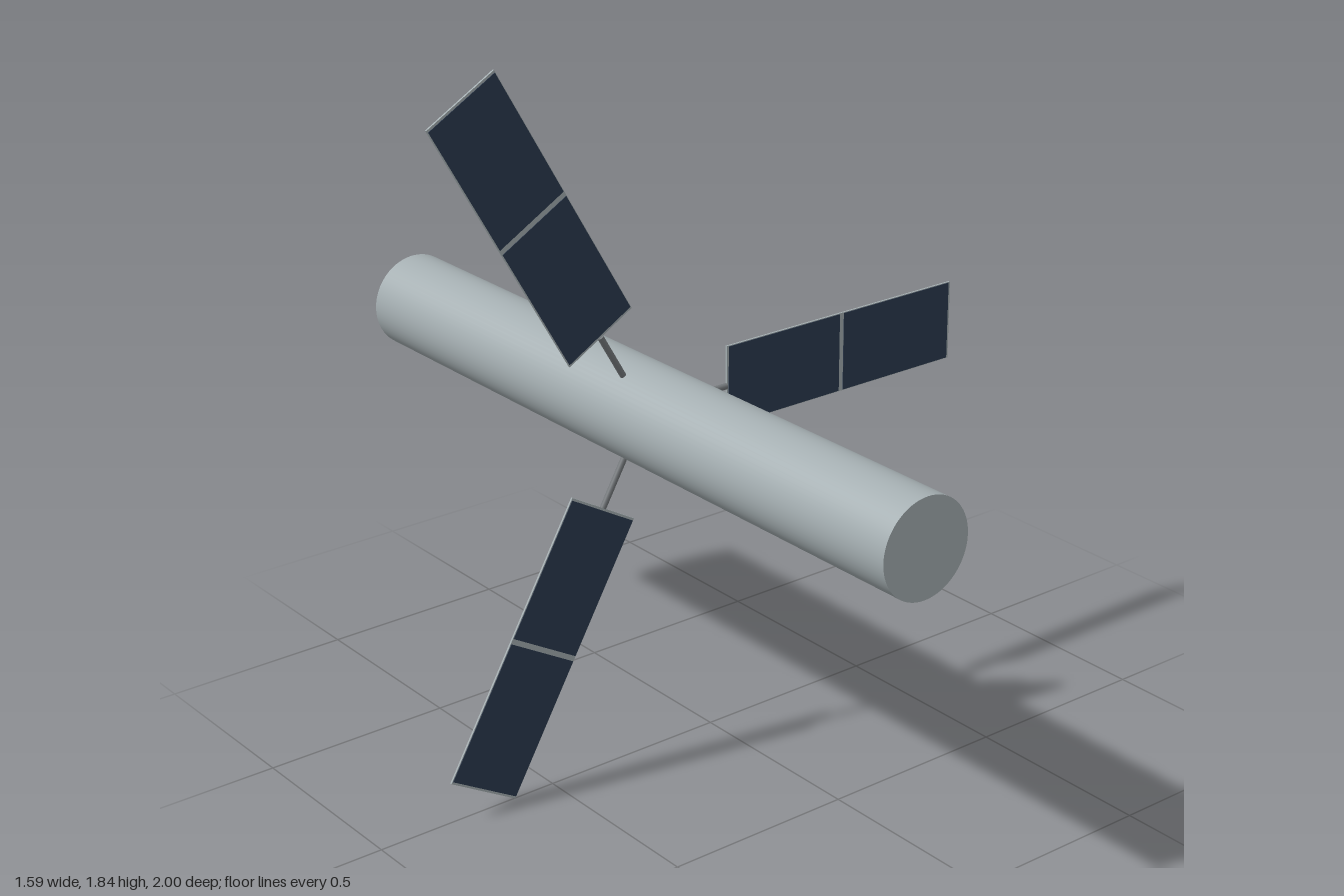
import * as THREE from 'three';

export function createModel() {
  const hullGrey = new THREE.MeshStandardMaterial({ name: 'hull grey', color: 0xa5afb2 });
  const cellBlue = new THREE.MeshStandardMaterial({ name: 'cell navy', color: 0x2c3a4f });
  const strutGrey = new THREE.MeshStandardMaterial({ name: 'strut grey', color: 0x74787b });

  const model = new THREE.Group();
  model.name = 'satellite';

  const add = (parent, name, geometry, material, x = 0, y = 0, z = 0) => {
    const mesh = new THREE.Mesh(geometry, material);
    mesh.name = name;
    mesh.position.set(x, y, z);
    parent.add(mesh);
    return mesh;
  };

  // Long cylindrical hull along z
  const hub = new THREE.Group();
  hub.name = 'hub';
  hub.position.set(-0.205, 0.922, 0);
  model.add(hub);
  const R = 0.124;
  add(hub, 'hull', new THREE.CylinderGeometry(R, R, 2, 64).rotateX(Math.PI / 2), hullGrey);

  // Three solar wings, each built along +x and turned about the hull
  const inner = 0.255, outer = 1.002, width = 0.212, thick = 0.005;
  const mid = (inner + outer) / 2;
  const border = 0.006, gap = 0.014;
  const cellLength = (outer - inner - 2 * border - gap) / 2;

  for (let i = 0; i < 3; i++) {
    const wing = new THREE.Group();
    wing.name = `solarWing${i + 1}`;
    wing.rotation.z = (i * 2 * Math.PI) / 3;
    hub.add(wing);

    // Strut from the hull to the panel edge
    const start = R - 0.02;
    add(wing, 'strut',
      new THREE.CylinderGeometry(0.008, 0.008, inner - start, 16).rotateZ(Math.PI / 2),
      strutGrey, (start + inner) / 2);

    // Thin backing panel with two dark cell plates on the front
    add(wing, 'panel', new THREE.BoxGeometry(outer - inner, width, thick), hullGrey, mid);
    for (const side of [-1, 1]) {
      add(wing, 'solarCells', new THREE.BoxGeometry(cellLength, width - 0.004, 0.002), cellBlue,
        mid + side * (gap + cellLength) / 2, 0, thick / 2 + 0.0005);
    }
  }
  return model;
}
